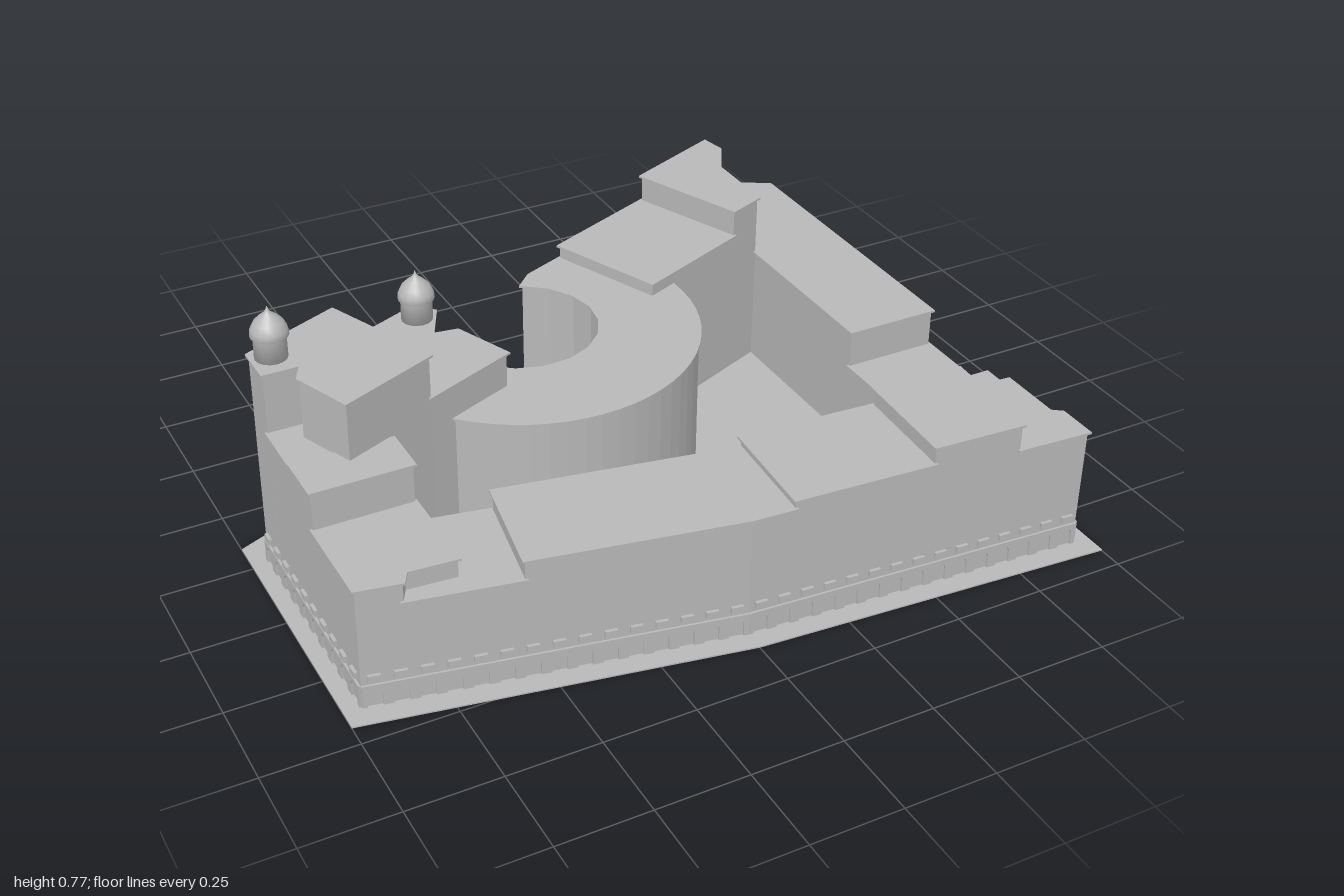
import * as THREE from 'three';

const stone = new THREE.MeshStandardMaterial({ color: 0xb8b8b8 });
stone.name = 'grey stone';

// Points on a plan arc, angles in degrees (90 points to the front)
function arc(cx, cz, r, a0, a1, n) {
  return Array.from({ length: n + 1 }, (_, i) => {
    const a = THREE.MathUtils.degToRad(a0 + (a1 - a0) * i / n);
    return [cx + r * Math.cos(a), cz + r * Math.sin(a)];
  });
}

// Push a plan polygon outward by d
function grow(pts, d) {
  const n = pts.length;
  let area = 0;
  pts.forEach(([x, z], i) => { const q = pts[(i + 1) % n]; area += x * q[1] - q[0] * z; });
  const s = Math.sign(area);
  const normal = (a, b) => new THREE.Vector2(b[1] - a[1], a[0] - b[0]).normalize().multiplyScalar(s);
  return pts.map((p, i) => {
    const n1 = normal(pts[(i + n - 1) % n], p), n2 = normal(p, pts[(i + 1) % n]);
    const m = n1.clone().add(n2);
    const k = d / Math.max(0.5, 1 + n1.dot(n2));
    return [p[0] + m.x * k, p[1] + m.y * k];
  });
}

const toShape = pts => new THREE.Shape(pts.map(([x, z]) => new THREE.Vector2(x, -z)));

// Upright prism over a plan shape
function prism(name, shape, y0, y1) {
  const geo = new THREE.ExtrudeGeometry(shape, { depth: y1 - y0, bevelEnabled: false });
  geo.rotateX(-Math.PI / 2);
  geo.translate(0, y0, 0);
  const mesh = new THREE.Mesh(geo, stone);
  mesh.name = name;
  return mesh;
}

// Walls with a thin overhanging roof slab
function block(name, pts, h) {
  const g = new THREE.Group();
  g.name = name;
  g.add(prism('walls', toShape(pts), 0.003, h - 0.006));
  g.add(prism('roof', toShape(grow(pts, 0.007)), h - 0.006, h));
  return g;
}

const ledgeGeo = new THREE.BoxGeometry(0.032, 0.018, 0.014);

// Arcade and row of small ledges along one wall; the wall faces local +z
function facade(name, a, b, arcade) {
  const g = new THREE.Group();
  g.name = name;
  const dx = b[0] - a[0], dz = b[1] - a[1], len = Math.hypot(dx, dz);
  g.position.set(a[0], 0, a[1]);
  g.rotation.y = Math.atan2(-dz, dx);
  const n = Math.max(1, Math.round(len / 0.064)), step = len / n;
  const s = new THREE.Shape();
  s.moveTo(0, 0.003);
  for (let i = 0; i < n; i++) {
    const c = (i + 0.5) * step, r = 0.019;
    s.lineTo(c - r, 0.003);
    s.lineTo(c - r, 0.038);
    s.absarc(c, 0.038, r, Math.PI, 0, true);
    s.lineTo(c + r, 0.003);
    const ledge = new THREE.Mesh(ledgeGeo, stone);
    ledge.name = 'ledge';
    ledge.position.set(c, 0.089, 0.002);
    g.add(ledge);
  }
  s.lineTo(len, 0.003);
  s.lineTo(len, 0.068);
  s.lineTo(0, 0.068);
  if (arcade) {
    const geo = new THREE.ExtrudeGeometry(s, { depth: 0.006, bevelEnabled: false, curveSegments: 6 });
    const mesh = new THREE.Mesh(geo, stone);
    mesh.name = 'arcade';
    g.add(mesh);
  }
  return g;
}

// Round turret with a pointed dome
function turret(name, x, y, z) {
  const profile = [[0, 0], [0.042, 0], [0.042, 0.062], [0.049, 0.066], [0.047, 0.083],
    [0.038, 0.102], [0.022, 0.118], [0.009, 0.128], [0.004, 0.136], [0, 0.147]];
  const geo = new THREE.LatheGeometry(profile.map(p => new THREE.Vector2(...p)), 16);
  const mesh = new THREE.Mesh(geo, stone);
  mesh.name = name;
  mesh.position.set(x, y, z);
  return mesh;
}

export function createModel() {
  const model = new THREE.Group();
  model.name = 'courtyard building';

  // Ground plate with the round court cut out
  const ground = toShape([[-1, -0.09], [1, -0.94], [1, 0.935], [0, 0.87], [-1, 0.69]]);
  ground.holes.push(new THREE.Path(arc(-0.15, -0.18, 0.225, 0, 360, 18)
    .slice(0, -1).map(([x, z]) => new THREE.Vector2(x, -z))));
  model.add(prism('ground plate', ground, 0, 0.004));

  // Front range, stepped in height
  const f = [
    [[-0.69, 0.385], [-0.952, 0.635]], [[-0.505, 0.42], [-0.555, 0.709]],
    [[0.135, 0.525], [0.115, 0.819]], [[0.515, 0.55], [0.5, 0.844]], [[0.765, 0.565], [0.75, 0.859]],
  ];
  model.add(block('front range left end', [f[0][0], f[1][0], f[1][1], [-0.84, 0.656], [-0.82, 0.62], [-0.69, 0.62]], 0.295));
  model.add(block('front range centre', [f[1][0], [0.03, 0.515], f[2][0], f[2][1], [0, 0.812], f[1][1]], 0.35));
  model.add(block('front range raised', [f[2][0], f[3][0], f[3][1], f[2][1]], 0.375));
  model.add(block('front range high', [f[3][0], f[4][0], f[4][1], f[3][1]], 0.425));
  model.add(block('right front corner', [f[4][0], [0.925, 0.575], [0.925, 0.75], [0.952, 0.77], [0.952, 0.872], f[4][1]], 0.35));
  model.add(block('right front ledge', [[0.92, 0.575], [0.952, 0.575], [0.952, 0.77], [0.92, 0.75]], 0.295));

  // Right wing
  model.add(block('right wing front', [[0.69, 0.45], [0.952, 0.45], [0.952, 0.575], [0.69, 0.56]], 0.295));
  model.add(block('right wing low', [[0.69, 0.18], [0.952, 0.18], [0.952, 0.45], [0.69, 0.45]], 0.24));
  model.add(block('right wing', [[0.69, 0.18], [0.952, 0.18], [0.952, -0.69], [0.82, -0.77],
    [0.74, -0.735], [0.755, -0.67], [0.69, -0.56]], 0.35));

  // Back wing
  model.add(block('back wing high', [[0.46, -0.615], [0.74, -0.735], [0.752, -0.67], [0.69, -0.56],
    [0.69, -0.34], [0.59, -0.3]], 0.525));
  model.add(block('back wing', [[0.12, -0.473], [0.46, -0.615], [0.59, -0.3], [0.25, -0.16]], 0.445));

  // Curved range around the round court
  const court = arc(-0.15, -0.18, 0.225, 197, -62, 13);
  model.add(block('curved range', [[0, -0.423], [0.12, -0.473], [0.25, -0.16],
    ...arc(-0.14, -0.165, 0.472, -3, 137, 24), [-0.3, 0.08], [-0.37, -0.08], [-0.44, -0.09],
    [-0.39, -0.18], ...court], 0.405));

  // Left wing and towers
  model.add(block('left front corner', [[-0.952, 0.375], [-0.69, 0.375], [-0.69, 0.63], [-0.82, 0.62],
    [-0.84, 0.656], [-0.952, 0.635]], 0.35));
  model.add(block('left wing', [[-0.952, 0.25], [-0.69, 0.25], [-0.69, 0.375], [-0.952, 0.375]], 0.46));
  model.add(block('left wing back', [[-0.952, 0.085], [-0.8, 0.085], [-0.75, 0.25], [-0.952, 0.25]], 0.455));
  model.add(block('left tower', [[-0.952, -0.02], [-0.69, -0.132], [-0.56, 0.185], [-0.82, 0.295],
    [-0.88, 0.14], [-0.85, 0.083], [-0.952, 0.083]], 0.625));
  model.add(block('court tower', [[-0.69, -0.132], [-0.43, -0.243], [-0.385, -0.2], [-0.44, -0.09],
    [-0.37, -0.08], [-0.305, 0.08], [-0.56, 0.185]], 0.505));
  model.add(turret('left turret', -0.905, 0.622, 0.015));
  model.add(turret('court turret', -0.44, 0.502, -0.185));

  // Street walls, anticlockwise from the front left corner
  const street = [[-0.952, 0.635], [0, 0.812], [0.952, 0.872], [0.952, -0.69], [0.82, -0.77], [0, -0.423]];
  for (let i = 0; i < street.length - 1; i++) {
    model.add(facade('street wall ' + (i + 1), street[i], street[i + 1], i < 4));
  }
  model.add(facade('back left wall', [-0.43, -0.243], [-0.952, -0.02], false));
  model.add(facade('left wall', [-0.952, -0.02], [-0.952, 0.635], true));
  for (let i = 0; i < court.length - 1; i++) {
    model.add(facade('court wall ' + (i + 1), court[i + 1], court[i], false));
  }
  return model;
}
